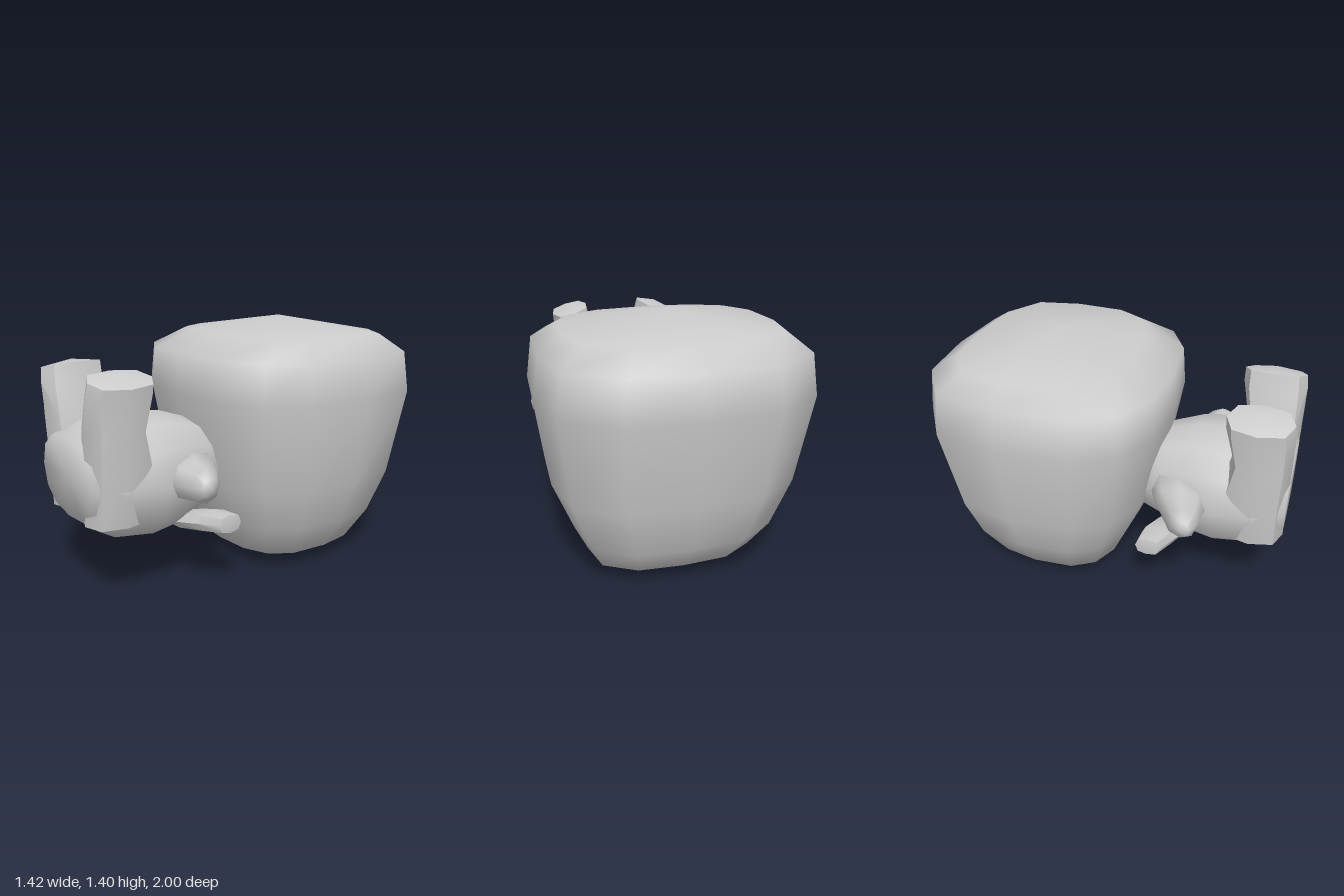
import * as THREE from 'three';
import { toCreasedNormals } from 'three/addons/utils/BufferGeometryUtils.js';

const material = new THREE.MeshStandardMaterial({ color: 0xcccccc });

// Rounded-square ring of n points in the unit square
function roundRing(n, power) {
  const soft = (v) => Math.sign(v) * Math.abs(v) ** (2 / power);
  return Array.from({ length: n }, (_, i) => {
    const t = (i / n) * Math.PI * 2;
    return [soft(Math.cos(t)), soft(Math.sin(t))];
  });
}

// Skin a ring through sections [t, aMin, aMax, bMin, bMax] along an axis.
// (t, a, b) run cyclically: x -> (x,y,z), y -> (y,z,x), z -> (z,x,y).
// ends: height t of the first and last cap centres.
function loft(axis, ring, sections, ends, mirror = false, tweak = null) {
  const pos = [], index = [], n = ring.length, last = sections.length - 1;
  const put = (t, a, b) => {
    const p = new THREE.Vector3();
    p.setComponent(axis, t);
    p.setComponent((axis + 1) % 3, a);
    p.setComponent((axis + 2) % 3, b);
    if (tweak) tweak(p);
    pos.push(mirror ? -p.x : p.x, p.y, p.z);
  };
  const tri = (a, b, c) => (mirror ? index.push(a, c, b) : index.push(a, b, c));
  const mid = (s, k) => (s[k] + s[k + 1]) / 2;
  for (const s of sections) {
    for (const [u, v] of ring) {
      put(s[0], mid(s, 1) + (u * (s[2] - s[1])) / 2, mid(s, 3) + (v * (s[4] - s[3])) / 2);
    }
  }
  [sections[0], sections[last]].forEach((s, i) => put(ends[i], mid(s, 1), mid(s, 3)));
  const low = n * (last + 1), high = low + 1;
  for (let i = 0; i < n; i++) {
    const j = (i + 1) % n;
    for (let r = 0; r < last; r++) {
      const p = r * n, q = p + n;
      tri(p + i, p + j, q + j);
      tri(p + i, q + j, q + i);
    }
    tri(low, j, i);
    tri(high, last * n + i, last * n + j);
  }
  const g = new THREE.BufferGeometry();
  g.setAttribute('position', new THREE.Float32BufferAttribute(pos, 3));
  g.setIndex(index);
  g.computeVertexNormals();
  return g;
}

export function createModel() {
  const model = new THREE.Group();
  const add = (name, geometry) => {
    const mesh = new THREE.Mesh(geometry, material);
    mesh.name = name;
    model.add(mesh);
  };

  // Large soft head, slightly fuller at the back
  const half = [[1, 0], [0.955, 0.48], [0.775, 0.8], [0.44, 0.97], [-0.16, 1], [-0.684, 0.915], [-0.955, 0.54], [-1, 0]];
  const headRing = [...half, ...half.slice(1, -1).reverse().map(([z, x]) => [z, -x])];
  add('head', loft(1, headRing, [
    [0.09, -0.7, 0.05, -0.45, 0.45],
    [0.26, -0.84, 0.13, -0.53, 0.53],
    [0.52, -0.905, 0.24, -0.64, 0.64],
    [1.0, -1.0, 0.325, -0.71, 0.71],
    [1.22, -0.98, 0.31, -0.68, 0.68],
    [1.315, -0.83, 0.09, -0.56, 0.56],
  ], [0, 1.4]));

  // Torso, from the neck forward to the seat
  add('torso', loft(2, roundRing(12, 2.3), [
    [0.1, -0.2, 0.2, 0.42, 0.8],
    [0.3, -0.28, 0.28, 0.36, 0.875],
    [0.46, -0.34, 0.34, 0.3, 0.93],
    [0.62, -0.375, 0.375, 0.28, 0.945],
    [0.84, -0.365, 0.365, 0.31, 0.945],
    [1.0, -0.31, 0.31, 0.44, 0.86],
  ], [0.1, 1.0]));

  const limbRing = roundRing(8, 2.6);
  for (const [side, mirror] of [['left', false], ['right', true]]) {
    // Raised leg, its sole sloping down to the outside
    const slope = (p) => { if (p.y > 1.15) p.y -= (p.x - 0.2) * 0.28; };
    add(side + 'Leg', toCreasedNormals(loft(1, limbRing, [
      [0.44, 0.66, 1.0, 0.06, 0.34],
      [0.7, 0.64, 1.0, 0.07, 0.375],
      [0.92, 0.69, 1.0, 0.1, 0.385],
      [1.1, 0.65, 1.0, 0.155, 0.395],
      [1.2, 0.65, 0.99, 0.18, 0.4],
    ], [0.4, 1.23], mirror, slope), 0.8));

    // Short arm reaching out sideways
    add(side + 'Arm', loft(0, roundRing(8, 2.2), [
      [0.2, 0.46, 0.78, 0.24, 0.55],
      [0.36, 0.52, 0.73, 0.31, 0.59],
      [0.54, 0.56, 0.745, 0.42, 0.585],
      [0.6, 0.61, 0.71, 0.47, 0.56],
    ], [0.2, 0.61], mirror));

    // Flat collar strip under the chin
    add(side + 'Collar', toCreasedNormals(loft(0, limbRing, [
      [0.07, 0.29, 0.33, 0.3, 0.46],
      [0.2, 0.3, 0.4, 0.28, 0.48],
      [0.34, 0.315, 0.43, 0.24, 0.43],
      [0.47, 0.335, 0.437, 0.24, 0.375],
    ], [0.07, 0.48], mirror), 0.8));
  }
  return model;
}
